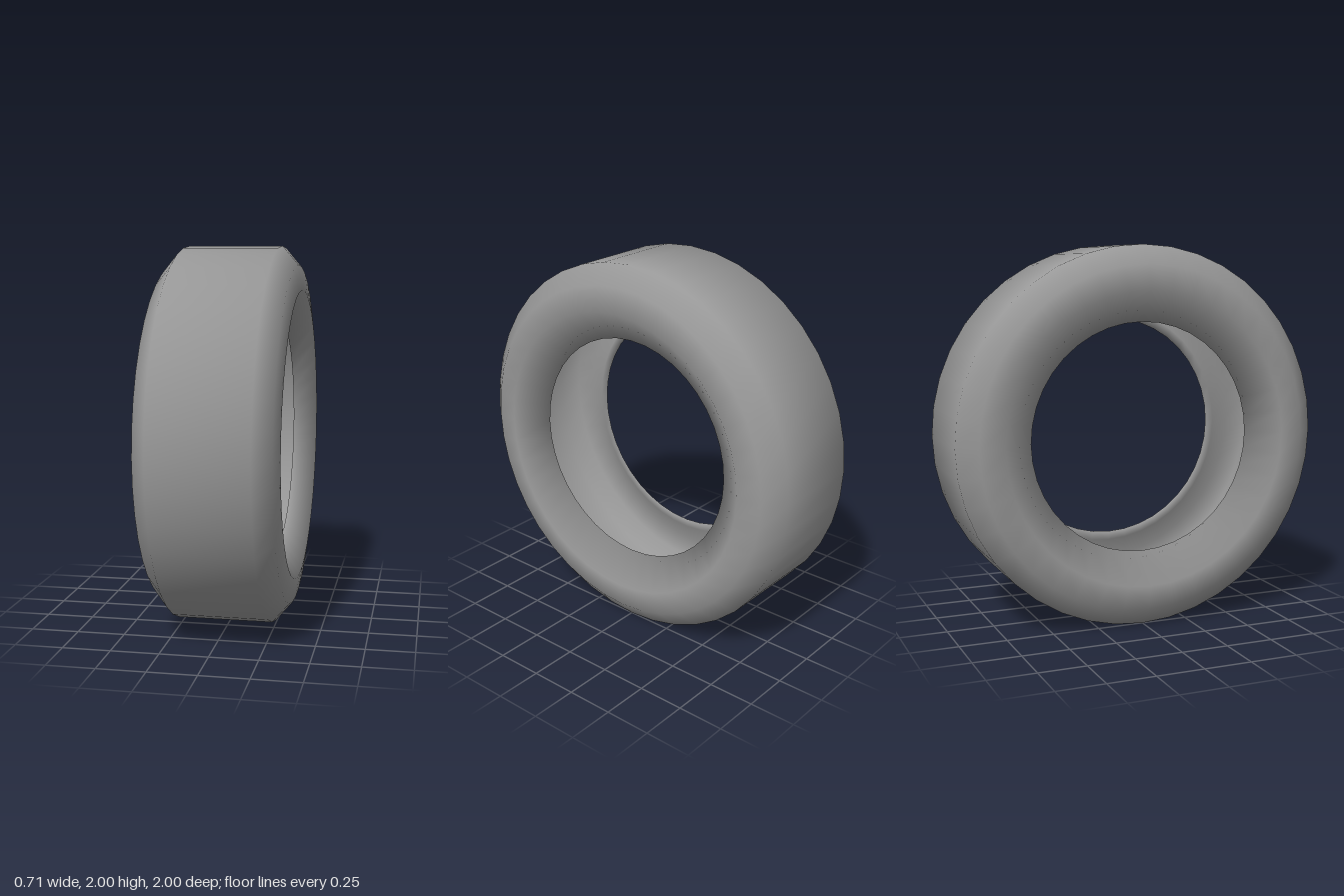
import * as THREE from 'three';
import { toCreasedNormals } from 'three/addons/utils/BufferGeometryUtils.js';

// Half of the tyre's cross-section as [radius, offset along the axle],
// from the tread edge, down the sidewall to the thin lip, then along the inner wall.
const HALF_PROFILE = [
  [1.0, 0.25],
  [0.9, 0.335],
  [0.77, 0.355],
  [0.605, 0.237],
  [0.655, 0.245],
  [0.77, 0.305],
  [0.88, 0.285],
  [0.95, 0.21],
  [0.95, 0],
];

export function createModel() {
  const group = new THREE.Group();
  group.name = 'tyre';

  // Mirror the half section and revolve it into a hollow ring
  const half = HALF_PROFILE.map(([r, x]) => new THREE.Vector2(r, x));
  const mirrored = HALF_PROFILE.map(([r, x]) => new THREE.Vector2(r, -x)).reverse();
  const lathe = new THREE.LatheGeometry([...mirrored, ...half.slice(0, -1), mirrored[0]], 40);
  lathe.rotateZ(-Math.PI / 2); // axle along x

  // Smooth every edge evenly, so the shoulders shade softly into the tread
  const geometry = toCreasedNormals(lathe, Math.PI);

  const material = new THREE.MeshStandardMaterial({ color: 0x989898 });
  const tyre = new THREE.Mesh(geometry, material);
  tyre.name = 'tyreCarcass';
  tyre.position.y = 1;
  group.add(tyre);

  return group;
}
